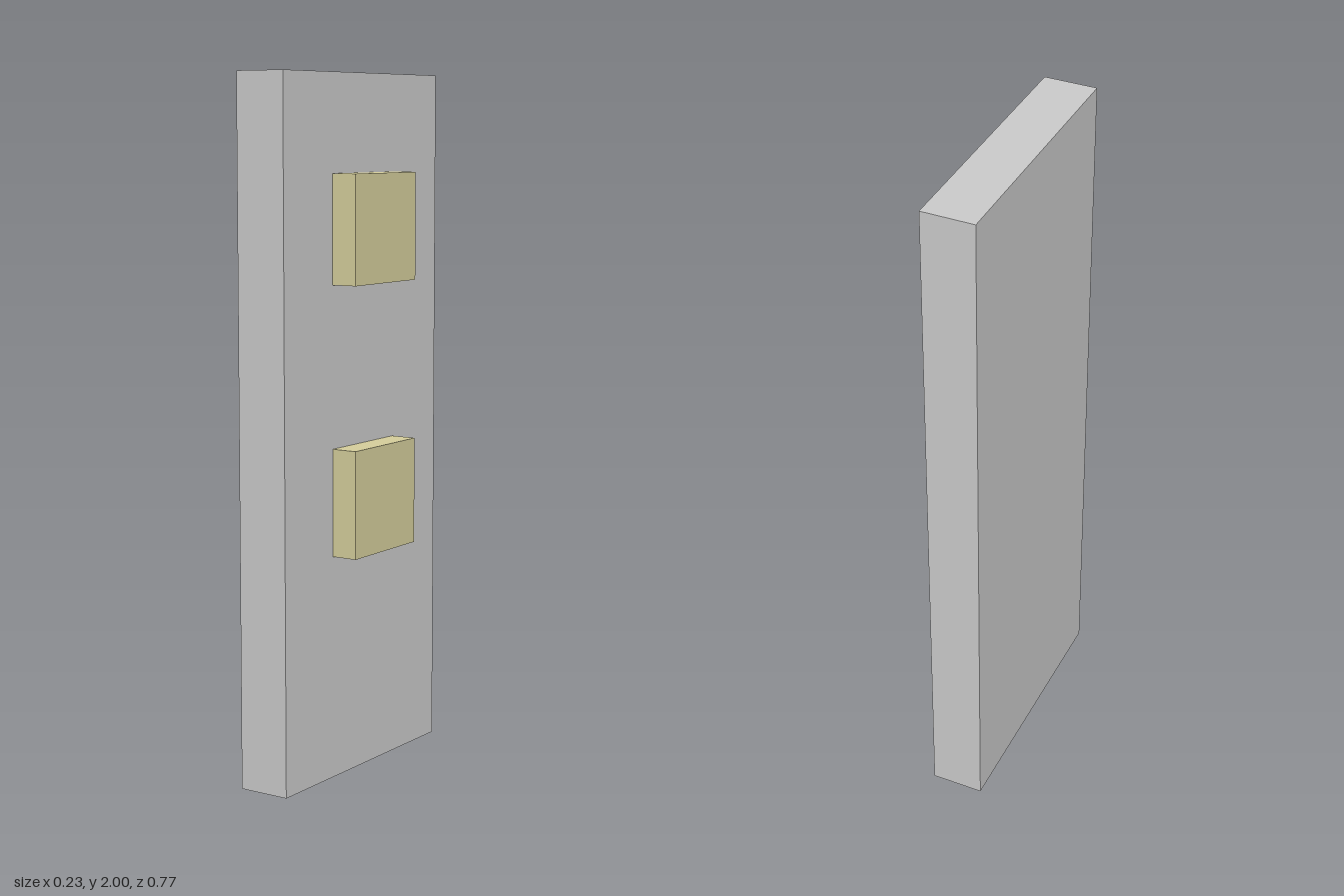
import * as THREE from 'three';

export function createModel() {
  const model = new THREE.Group();
  const grey = new THREE.MeshStandardMaterial({ color: 0xcccccc });
  const tan = new THREE.MeshStandardMaterial({ color: 0xd6cf9c });

  function addBox(name, material, size, position) {
    const mesh = new THREE.Mesh(new THREE.BoxGeometry(...size), material);
    mesh.name = name;
    mesh.position.set(...position);
    model.add(mesh);
  }

  // Upright slab
  addBox('panel', grey, [0.154, 2, 0.769], [-0.0385, 1, 0]);

  // Two square pads on its +x face
  const pads = { lowerPad: 0.8, upperPad: 1.569 };
  for (const [name, y] of Object.entries(pads)) {
    addBox(name, tan, [0.077, 0.308, 0.308], [0.077, y, 0]);
  }

  return model;
}
